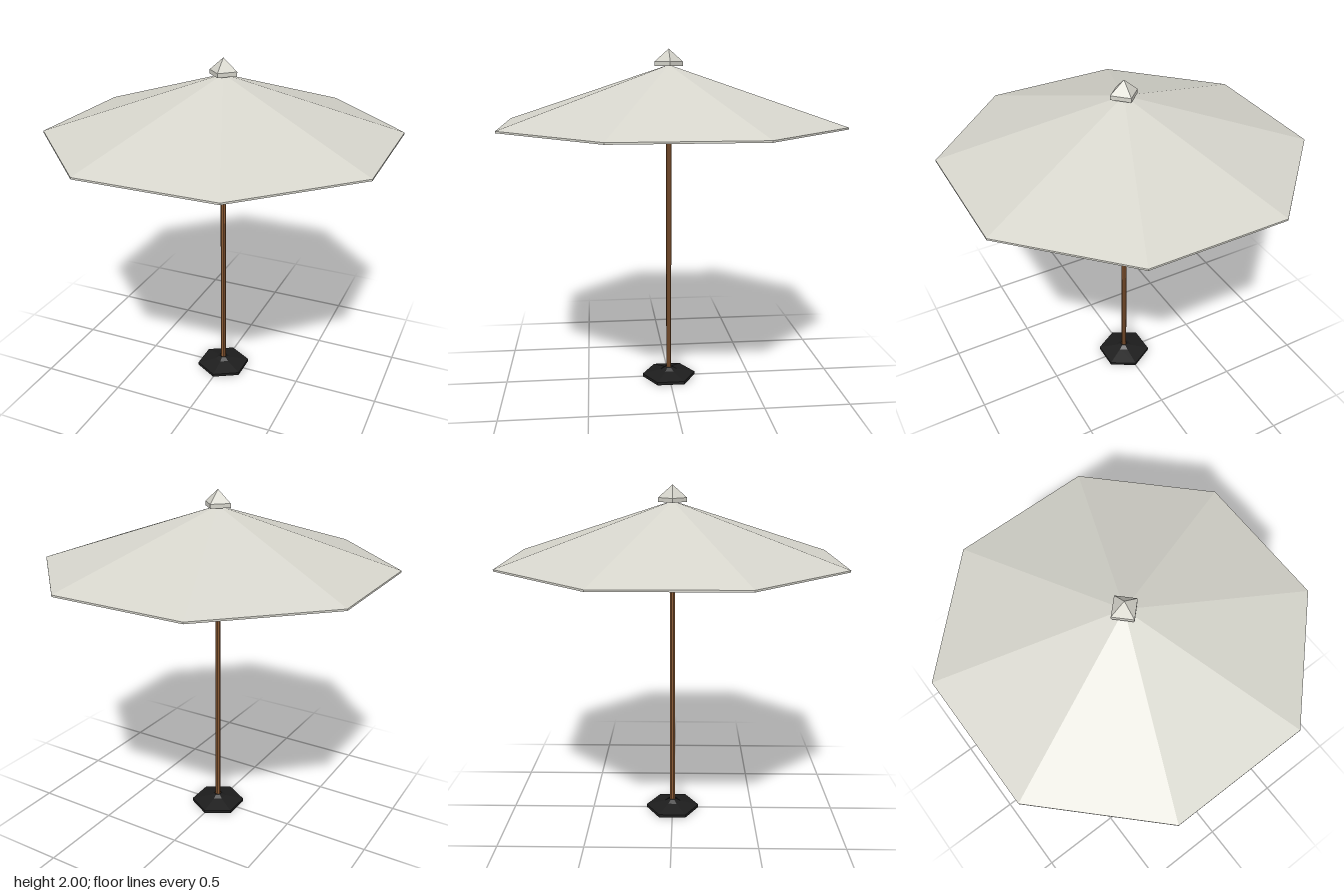
import * as THREE from 'three';

const material = (name, color) => {
  const m = new THREE.MeshStandardMaterial({ color });
  m.name = name;
  return m;
};

// Faceted solid of revolution; the profile runs from the bottom axis outward and up
function facetedLathe(name, profile, sides, turn, mat) {
  const points = profile.map(([r, y]) => new THREE.Vector2(r, y));
  const geometry = new THREE.LatheGeometry(points, sides, turn).toNonIndexed();
  geometry.computeVertexNormals();
  const mesh = new THREE.Mesh(geometry, mat);
  mesh.name = name;
  return mesh;
}

export function createModel() {
  const canvas = material('canvas', 0xd6d5cc);
  const wood = material('wood', 0x8b5a33);
  const iron = material('iron', 0x1d1d1d);

  const model = new THREE.Group();
  model.name = 'parasol';

  // Eight-sided canopy: a thin shell with a narrow rim
  model.add(facetedLathe('canopy',
    [[0, 1.898], [1.023, 1.57], [1.023, 1.58], [0, 1.91]], 8, Math.PI / 8, canvas));

  // Four-sided cap with its corners on the axes
  model.add(facetedLathe('finial',
    [[0, 1.904], [0.082, 1.904], [0.082, 1.928], [0, 2]], 4, 0, canvas));

  // Pole
  model.add(facetedLathe('pole',
    [[0, 0], [0.016, 0], [0.016, 1.9], [0, 1.9]], 8, Math.PI / 8, wood));

  // Six-sided foot rising to a collar around the pole
  model.add(facetedLathe('base',
    [[0, 0.002], [0.163, 0], [0.163, 0.018], [0.05, 0.043], [0.022, 0.06], [0, 0.06]], 6, 0, iron));

  return model;
}
